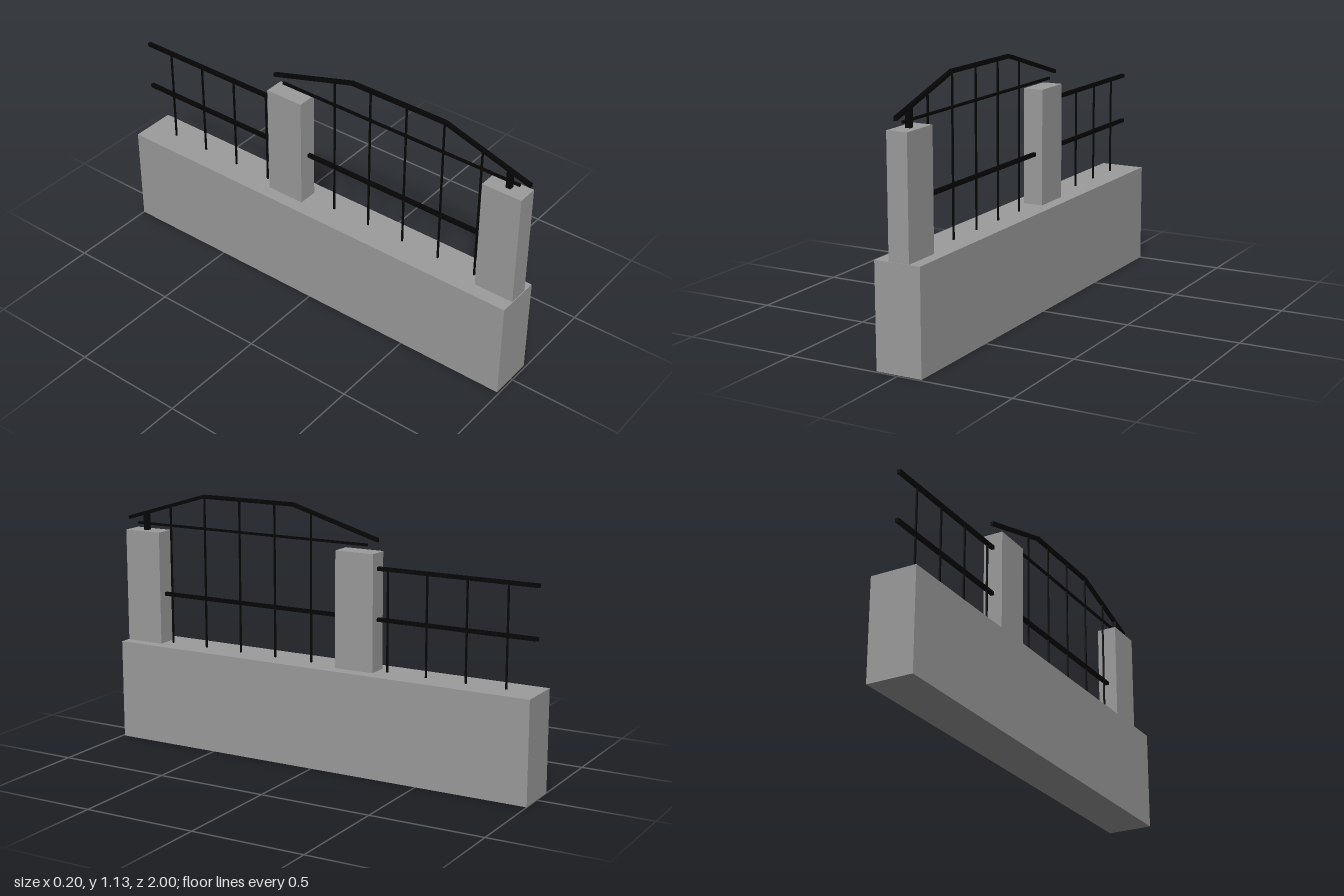
import * as THREE from 'three';

export function createModel() {
  const model = new THREE.Group();
  const stone = new THREE.MeshStandardMaterial({ color: 0x9c9c9c });
  const iron = new THREE.MeshStandardMaterial({ color: 0x050505 });

  // Box given by its min and max corners
  function block(name, min, max, material) {
    const size = max.map((v, i) => v - min[i]);
    const mesh = new THREE.Mesh(new THREE.BoxGeometry(...size), material);
    mesh.position.set(...max.map((v, i) => (v + min[i]) / 2));
    mesh.name = name;
    model.add(mesh);
  }

  // Square iron bars: level along z, or upright along y
  const rail = (name, x, y, z0, z1, r) =>
    block(name, [x - r, y - r, z0], [x + r, y + r, z1], iron);
  const baluster = (name, x, z, y0, y1, r) =>
    block(name, [x - r, y0, z - r], [x + r, y1, z + r], iron);

  // Wall and its two pillars
  const wallTop = 0.445;
  block('wall', [-0.102, 0, -1], [0.102, wallTop, 0.991], stone);
  block('frontPillar', [-0.039, wallTop, 0.809], [0.052, 0.95, 0.988], stone);
  block('middlePillar', [-0.043, wallTop, -0.266], [0.046, 0.95, -0.087], stone);

  // Raised handrail: mitred [z, y] centre line thickened and extruded across x
  const frontX = 0.009, railR = 0.008;
  const crest = [[0.999, 0.999], [0.597, 1.121], [0.14, 1.121], [-0.268, 1.003]];
  const outline = [
    ...crest.map(([z, y]) => new THREE.Vector2(z, y + railR)),
    ...crest.map(([z, y]) => new THREE.Vector2(z, y - railR)).reverse(),
  ];
  const crestGeometry = new THREE.ExtrudeGeometry(new THREE.Shape(outline), {
    depth: 2 * railR, bevelEnabled: false,
  });
  crestGeometry.translate(0, 0, -railR).rotateY(-Math.PI / 2);
  const handrail = new THREE.Mesh(crestGeometry, iron);
  handrail.position.x = frontX;
  handrail.name = 'raisedHandrail';
  model.add(handrail);

  rail('upperRail', frontX, 0.979, -0.22, 0.95, 0.005);
  rail('frontMiddleRail', frontX, 0.667, -0.1, 0.83, railR);
  baluster('handrailPost', 0.008, 0.904, 0.95, 1.025, 0.011);

  // Handrail height at a given z
  function crestHeight(z) {
    const i = z > crest[1][0] ? 0 : z > crest[2][0] ? 1 : 2;
    const [z0, y0] = crest[i], [z1, y1] = crest[i + 1];
    return y0 + (y1 - y0) * (z - z0) / (z1 - z0);
  }
  for (const z of [0.773, 0.592, 0.411, 0.233, 0.052])
    baluster('frontBaluster', frontX, z, wallTop, crestHeight(z), 0.0035);

  // Lower railing behind the middle pillar
  const backX = 0.002;
  for (const y of [0.883, 0.667])
    rail('backRail', backX, y, -0.987, -0.25, railR);
  for (const z of [-0.313, -0.494, -0.675, -0.855])
    baluster('backBaluster', backX, z, wallTop, 0.883, 0.0035);

  return model;
}
